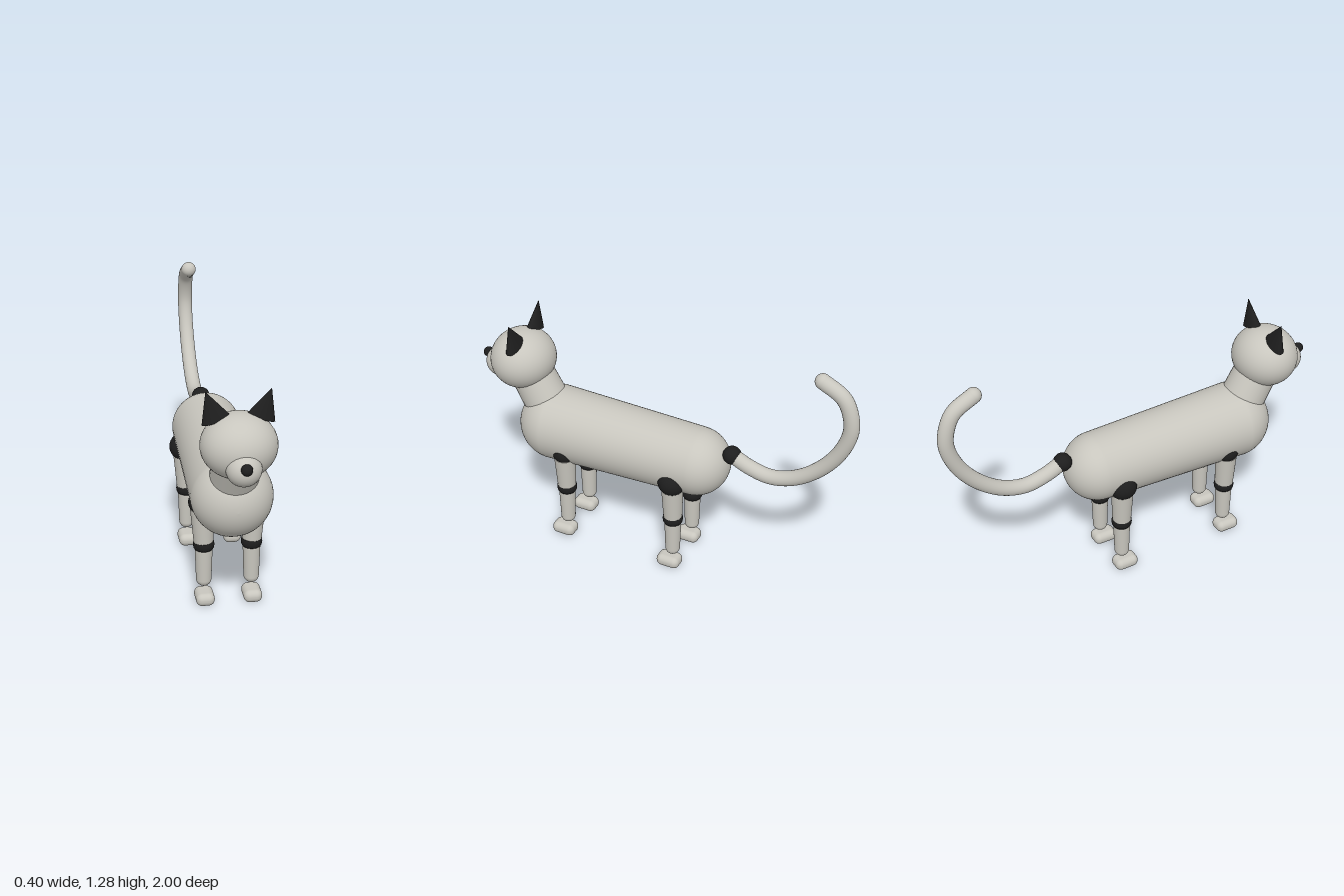
import * as THREE from 'three';
import { RoundedBoxGeometry } from 'three/addons/geometries/RoundedBoxGeometry.js';

const grey = new THREE.MeshStandardMaterial({ color: 0xc8c6be });
grey.name = 'warm grey';
const black = new THREE.MeshStandardMaterial({ color: 0x1e1e1e });
black.name = 'black';

const V = (x, y, z) => new THREE.Vector3(x, y, z);

function add(parent, name, geometry, material, position) {
  const mesh = new THREE.Mesh(geometry, material);
  mesh.name = name;
  if (position) mesh.position.copy(position);
  parent.add(mesh);
  return mesh;
}

// Ellipsoid with the given radii
function ball(parent, name, material, position, rx, ry = rx, rz = rx) {
  const geometry = new THREE.SphereGeometry(1, 40, 28).scale(rx, ry, rz);
  return add(parent, name, geometry, material, position);
}

// Tapered cylinder running from a to b
function limb(parent, name, a, b, ra, rb) {
  const axis = b.clone().sub(a);
  const geometry = new THREE.CylinderGeometry(rb, ra, axis.length(), 32);
  const mesh = add(parent, name, geometry, grey, a.clone().add(b).multiplyScalar(0.5));
  mesh.quaternion.setFromUnitVectors(V(0, 1, 0), axis.normalize());
  return mesh;
}

// Lathed solid with round ends of radius r0 at y0 and r1 at y1
function taperedCapsule(y0, r0, y1, r1) {
  const points = [];
  for (let i = 0; i <= 32; i++) {
    const a = -Math.PI / 2 + (Math.PI * (i > 16 ? i - 1 : i)) / 31;
    const [y, r] = i <= 16 && a <= 0 ? [y0, r0] : [y1, r1];
    points.push(new THREE.Vector2(Math.max(0, Math.cos(a)) * r, y + Math.sin(a) * r));
  }
  return new THREE.LatheGeometry(points.filter((p, i) => i === 0 || p.distanceTo(points[i - 1]) > 1e-6), 48);
}

// Slightly bulging band round a knee
function kneeBand() {
  const profile = [[0, -0.023], [0.044, -0.023], [0.049, -0.014], [0.051, 0], [0.049, 0.014], [0.044, 0.023], [0, 0.023]];
  return new THREE.LatheGeometry(profile.map(([x, y]) => new THREE.Vector2(x, y)), 32);
}

function makeLeg(name, side, z, footZ, hipY, hipRadius) {
  const leg = new THREE.Group();
  leg.name = name;
  const x = side * 0.115;
  ball(leg, 'hipJoint', black, V(side * 0.127, hipY, z), hipRadius);
  limb(leg, 'upperLeg', V(x, 0.3, z), V(side * 0.124, 0.496, z), 0.046, 0.055);
  add(leg, 'kneeBand', kneeBand(), black, V(x, 0.304, z));
  add(leg, 'lowerLeg', taperedCapsule(0.118, 0.037, 0.27, 0.042), grey, V(x, 0, z));
  add(leg, 'foot', new RoundedBoxGeometry(0.09, 0.064, 0.123, 6, 0.03), grey, V(x, 0.032, footZ));
  return leg;
}

function makeHead() {
  const head = new THREE.Group();
  head.name = 'head';
  ball(head, 'skull', grey, V(0, 0.941, 0.768), 0.174, 0.151, 0.163);
  ball(head, 'muzzle', grey, V(0, 0.884, 0.897), 0.08, 0.078, 0.08);
  ball(head, 'nose', black, V(0, 0.915, 0.974), 0.026);
  // Flattened cone ears leaning outwards
  for (const side of [-1, 1]) {
    const geometry = new THREE.ConeGeometry(0.0665, 0.143, 32).translate(0, 0.0715, 0).scale(1, 1, 0.5);
    const ear = add(head, side > 0 ? 'leftEar' : 'rightEar', geometry, black, V(side * 0.1, 1.06, 0.753));
    ear.rotation.z = -side * 0.328;
  }
  return head;
}

function makeTail() {
  const tail = new THREE.Group();
  tail.name = 'tail';
  const path = [
    [0.696, -0.38], [0.653, -0.477], [0.633, -0.584], [0.664, -0.7], [0.755, -0.825],
    [0.884, -0.921], [1.018, -0.963], [1.125, -0.945], [1.185, -0.908], [1.241, -0.81],
  ].map(([y, z]) => V(0, y, z));
  add(tail, 'tailTube', new THREE.TubeGeometry(new THREE.CatmullRomCurve3(path), 80, 0.0375, 24), grey);
  ball(tail, 'tailTip', grey, path[path.length - 1], 0.0375);
  ball(tail, 'tailJoint', black, path[0], 0.046);
  return tail;
}

export function createModel() {
  const model = new THREE.Group();
  model.name = 'cat';

  // Body tapering towards the rear
  const body = add(model, 'body', taperedCapsule(-0.192, 0.172, 0.584, 0.193), grey, V(0, 0.605, 0));
  body.rotation.x = Math.PI / 2;

  limb(model, 'neck', V(0, 0.64, 0.602), V(0, 0.9, 0.745), 0.116, 0.109);
  model.add(makeHead(), makeTail());

  for (const side of [-1, 1]) {
    const label = side > 0 ? 'Left' : 'Right';
    model.add(makeLeg('front' + label + 'Leg', side, 0.482, 0.503, 0.527, 0.06));
    model.add(makeLeg('rear' + label + 'Leg', side, -0.12, -0.102, 0.537, 0.071));
  }
  return model;
}
